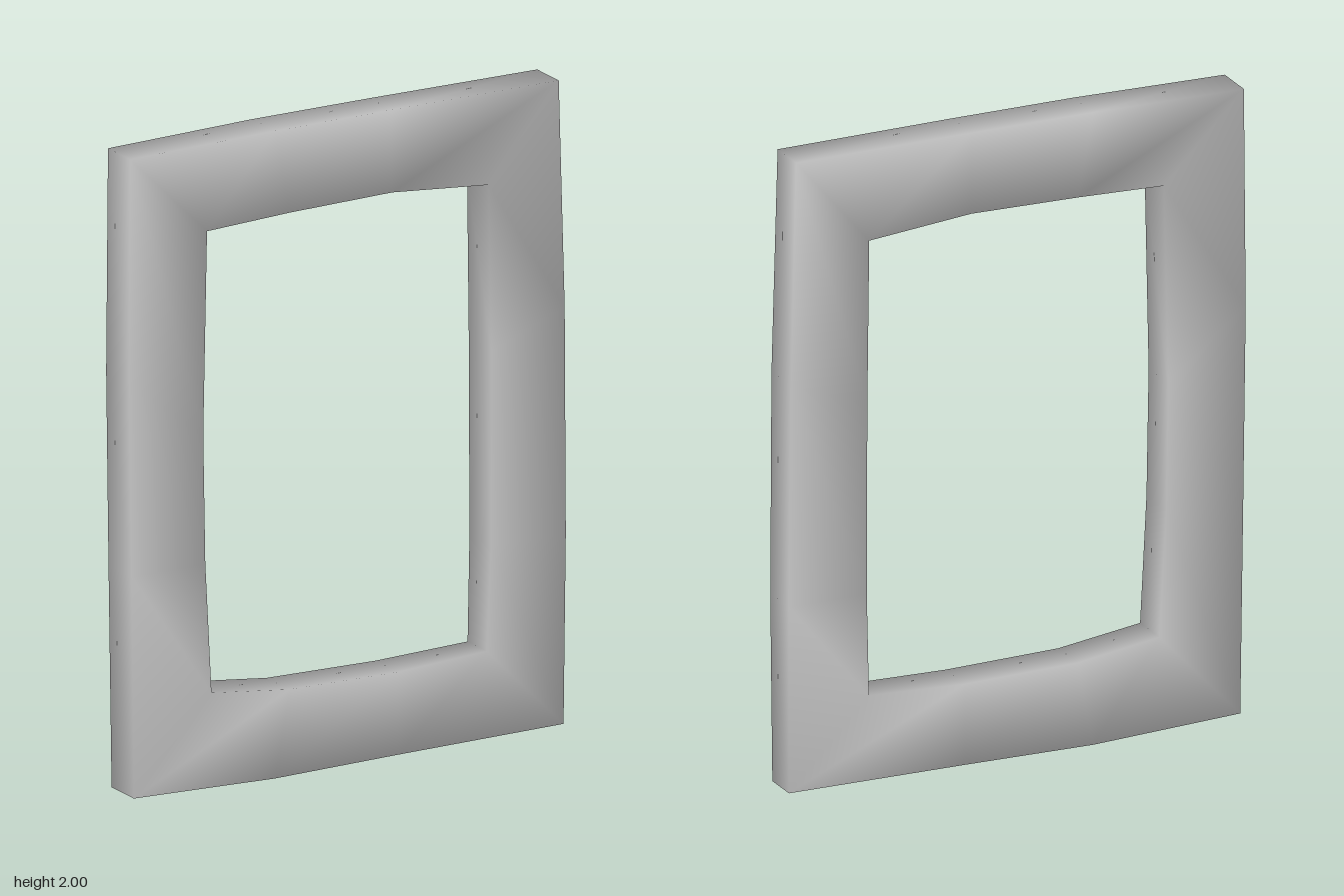
import * as THREE from 'three';

// Stations round the frame, counter-clockwise from the bottom corner at -x:
// outer x, outer y, inner x, inner y, front z, back z
const stations = [
  [-0.735, 0.015, -0.47, 0.30, 0.07, -0.06],
  [-0.25, 0.0, -0.2, 0.267, 0.065, -0.068],
  [0.17, 0.007, 0.17, 0.262, 0.063, -0.068],
  [0.742, 0.01, 0.48, 0.275, 0.052, -0.06],
  [0.745, 0.6, 0.49, 0.6, 0.06, -0.066],
  [0.74, 1.3, 0.49, 1.2, 0.062, -0.07],
  [0.722, 2.0, 0.483, 1.715, 0.058, -0.068],
  [0.15, 2.0, 0.15, 1.745, 0.063, -0.07],
  [-0.25, 1.998, -0.2, 1.738, 0.065, -0.07],
  [-0.745, 1.987, -0.483, 1.725, 0.066, -0.064],
  [-0.75, 1.3, -0.497, 1.1, 0.068, -0.066],
  [-0.742, 0.7, -0.49, 0.7, 0.068, -0.066],
];

export function createModel() {
  const group = new THREE.Group();
  group.name = 'rectangularFrame';

  // Four-cornered section at each station, joined into a closed ring
  const positions = [];
  const indices = [];
  const n = stations.length;
  stations.forEach(([ox, oy, ix, iy, front, back], i) => {
    positions.push(ox, oy, front, ix, iy, front, ix, iy, back, ox, oy, back);
    const j = (i + 1) % n;
    for (let k = 0; k < 4; k++) {
      const m = (k + 1) % 4;
      const a = i * 4 + k, b = j * 4 + k, c = j * 4 + m, d = i * 4 + m;
      indices.push(a, b, c, a, c, d);
    }
  });

  // Shared corners give the soft, rounded shading
  const geometry = new THREE.BufferGeometry();
  geometry.setAttribute('position', new THREE.Float32BufferAttribute(positions, 3));
  geometry.setIndex(indices);
  geometry.computeVertexNormals();

  const frame = new THREE.Mesh(geometry, new THREE.MeshStandardMaterial({ color: 0xcccccc }));
  frame.name = 'frame';
  group.add(frame);
  return group;
}
